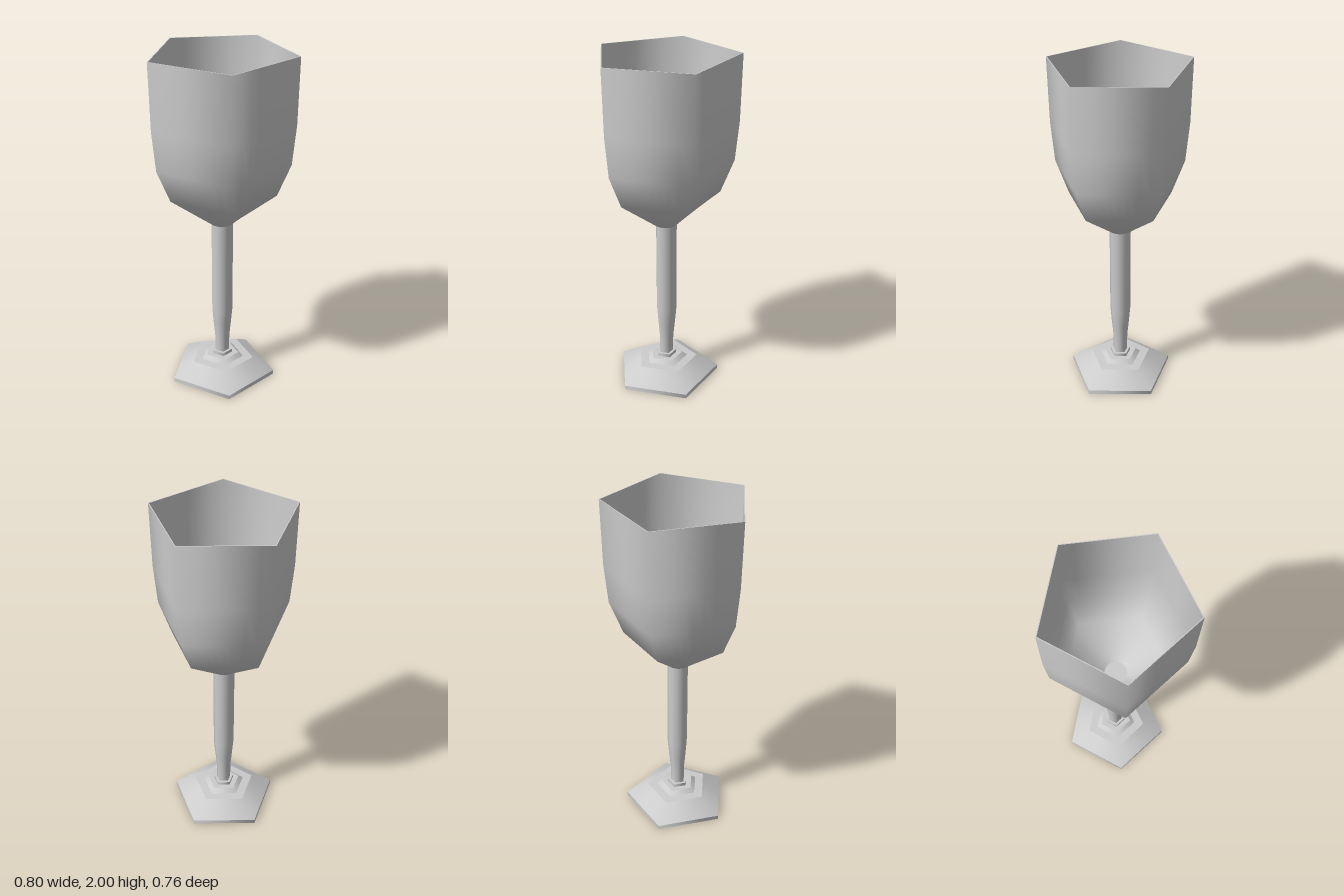
import * as THREE from 'three';
import { mergeGeometries } from 'three/addons/utils/BufferGeometryUtils.js';

const SIDES = 5, STEPS = 8, AXIS_Z = 0.04;

// Ratio of a pentagon's radius to its corner radius, with corners on multiples of 72 degrees from -z
function pentagon(angle) {
  const sector = (2 * Math.PI) / SIDES;
  const fromCorner = (((angle - Math.PI) % sector) + sector) % sector;
  return Math.cos(sector / 2) / Math.cos(fromCorner - sector / 2);
}

// Turned band whose round section is pressed into a pentagon; rings with a round flag stay circular.
// The turned normals are kept, so the sides shade softly.
function band(profile) {
  const points = profile.map(([r, y]) => new THREE.Vector2(r, y));
  const geometry = new THREE.LatheGeometry(points, SIDES * STEPS, Math.PI);
  const p = geometry.attributes.position;
  for (let i = 0; i < p.count; i++) {
    if (profile[i % profile.length][2]) continue;
    const k = pentagon(Math.atan2(p.getX(i), p.getZ(i)));
    p.setX(i, p.getX(i) * k);
    p.setZ(i, p.getZ(i) * k);
  }
  return geometry;
}

// Bands meet at sharp edges
function part(name, bands) {
  const material = new THREE.MeshStandardMaterial({ color: 0xcccccc });
  const mesh = new THREE.Mesh(mergeGeometries(bands.map(band)), material);
  mesh.name = name;
  mesh.position.z = AXIS_Z;
  return mesh;
}

export function createModel() {
  const group = new THREE.Group();
  group.name = 'goblet';

  // Cup: thin pentagonal wall that narrows to a round bottom
  const wall = [[0.313, 1.2], [0.39, 1.39], [0.412, 1.62], [0.42, 2]];
  const t = 0.006;
  const inner = wall.map(([r, y]) => [r - t, y]).reverse();
  group.add(part('cup', [
    [[0, 1.01, true], [0.066, 1.01, true]],
    [[0.066, 1.01, true], ...wall],
    [[0.42, 2], [0.42 - t, 2]],
    [...inner, [0.066, 1.016, true]],
    [[0.066, 1.016, true], [0, 1.016, true]],
  ]));

  // Stem: tapers towards the foot
  group.add(part('stem', [
    [[0.044, 0.15], [0.045, 0.25], [0.055, 0.35], [0.064, 0.45], [0.065, 1.01]],
  ]));

  // Collar between stem and foot
  group.add(part('collar', [
    [[0.062, 0.125], [0.062, 0.15]],
    [[0.062, 0.15], [0, 0.15]],
  ]));

  // Foot: flat base, sloped sides and a small raised step
  group.add(part('foot', [
    [[0, 0], [0.32, 0]],
    [[0.32, 0], [0.32, 0.025]],
    [[0.32, 0.025], [0.19, 0.105]],
    [[0.19, 0.105], [0.13, 0.108]],
    [[0.13, 0.108], [0.1, 0.13]],
    [[0.1, 0.13], [0, 0.13]],
  ]));

  return group;
}
